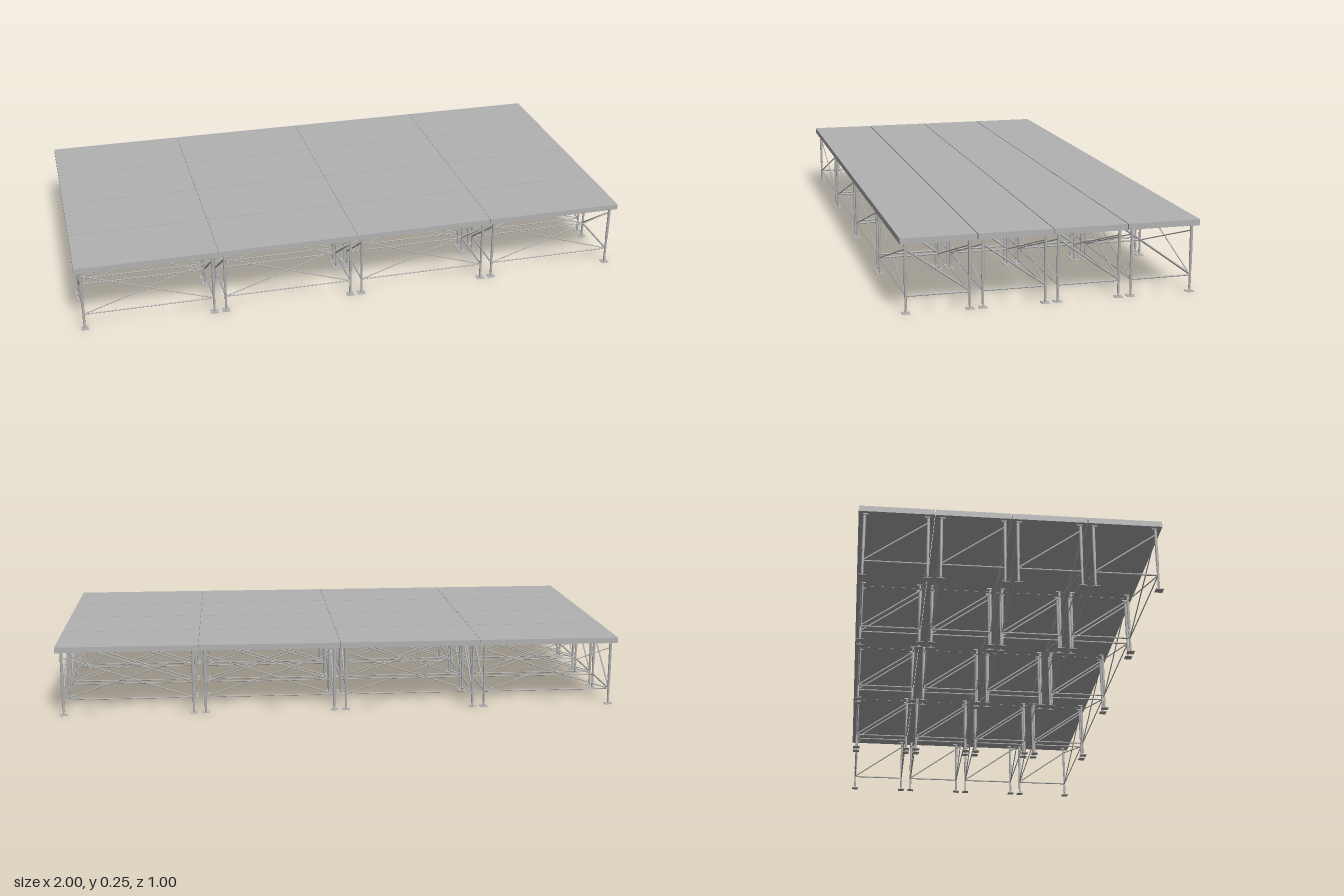
import * as THREE from 'three';

const grey = new THREE.MeshStandardMaterial({ color: 0xb2b2b2 });
grey.name = 'grey metal';

const LEG_X = 0.229, LEG_Z = 0.104;

function add(parent, name, geometry, x = 0, y = 0, z = 0) {
  const mesh = new THREE.Mesh(geometry, grey);
  mesh.name = name;
  mesh.position.set(x, y, z);
  parent.add(mesh);
  return mesh;
}

// Round bar between two points
function bar(parent, name, from, to, radius) {
  const a = new THREE.Vector3(...from), b = new THREE.Vector3(...to);
  const dir = b.clone().sub(a);
  const mesh = add(parent, name, new THREE.CylinderGeometry(radius, radius, dir.length(), 8));
  mesh.position.copy(a).add(b).multiplyScalar(0.5);
  mesh.quaternion.setFromUnitVectors(new THREE.Vector3(0, 1, 0), dir.normalize());
}

// Telescopic leg with foot plate and mounting flange
function createLeg(sx, sz) {
  const leg = new THREE.Group();
  leg.name = 'leg';
  leg.position.set(sx * LEG_X, 0, sz * LEG_Z);
  add(leg, 'outerTube', new THREE.CylinderGeometry(0.005, 0.005, 0.135, 12), 0, 0.1625, 0);
  add(leg, 'innerTube', new THREE.CylinderGeometry(0.004, 0.004, 0.083, 12), 0, 0.0535, 0);
  add(leg, 'spindle', new THREE.CylinderGeometry(0.003, 0.003, 0.012, 8), 0, 0.007, 0);
  add(leg, 'footPlate', new THREE.BoxGeometry(0.026, 0.002, 0.026), 0, 0.001, 0);
  add(leg, 'flange', new THREE.BoxGeometry(0.016, 0.004, 0.018), 0, 0.228, -sz * 0.004);
  return leg;
}

// One platform unit: deck, four legs and bracing
function createUnit() {
  const unit = new THREE.Group();
  unit.name = 'platformUnit';
  add(unit, 'deck', new THREE.BoxGeometry(0.499, 0.02, 0.2475), 0, 0.24, 0);
  for (const s of [-1, 1]) {
    for (const t of [-1, 1]) unit.add(createLeg(s, t));
    // End frame
    const x = s * LEG_X, z = s * LEG_Z;
    bar(unit, 'endRail', [x, 0.057, -LEG_Z], [x, 0.057, LEG_Z], 0.003);
    bar(unit, 'endDiagonal', [x, 0.21, LEG_Z], [x, 0.06, -LEG_Z], 0.003);
    // Long side with crossed braces
    bar(unit, 'sideRail', [-LEG_X, 0.057, z], [LEG_X, 0.057, z], 0.002);
    bar(unit, 'crossBrace', [-LEG_X, 0.057, z], [LEG_X, 0.21, z], 0.002);
    bar(unit, 'crossBrace', [-LEG_X, 0.21, z], [LEG_X, 0.057, z], 0.002);
  }
  return unit;
}

export function createModel() {
  const stage = new THREE.Group();
  stage.name = 'modularStage';
  // Four by four grid of units
  for (let i = 0; i < 4; i++) {
    for (let j = 0; j < 4; j++) {
      const unit = createUnit();
      unit.position.set((i - 1.5) * 0.5, 0, (j - 1.5) * 0.2505);
      stage.add(unit);
    }
  }
  return stage;
}
